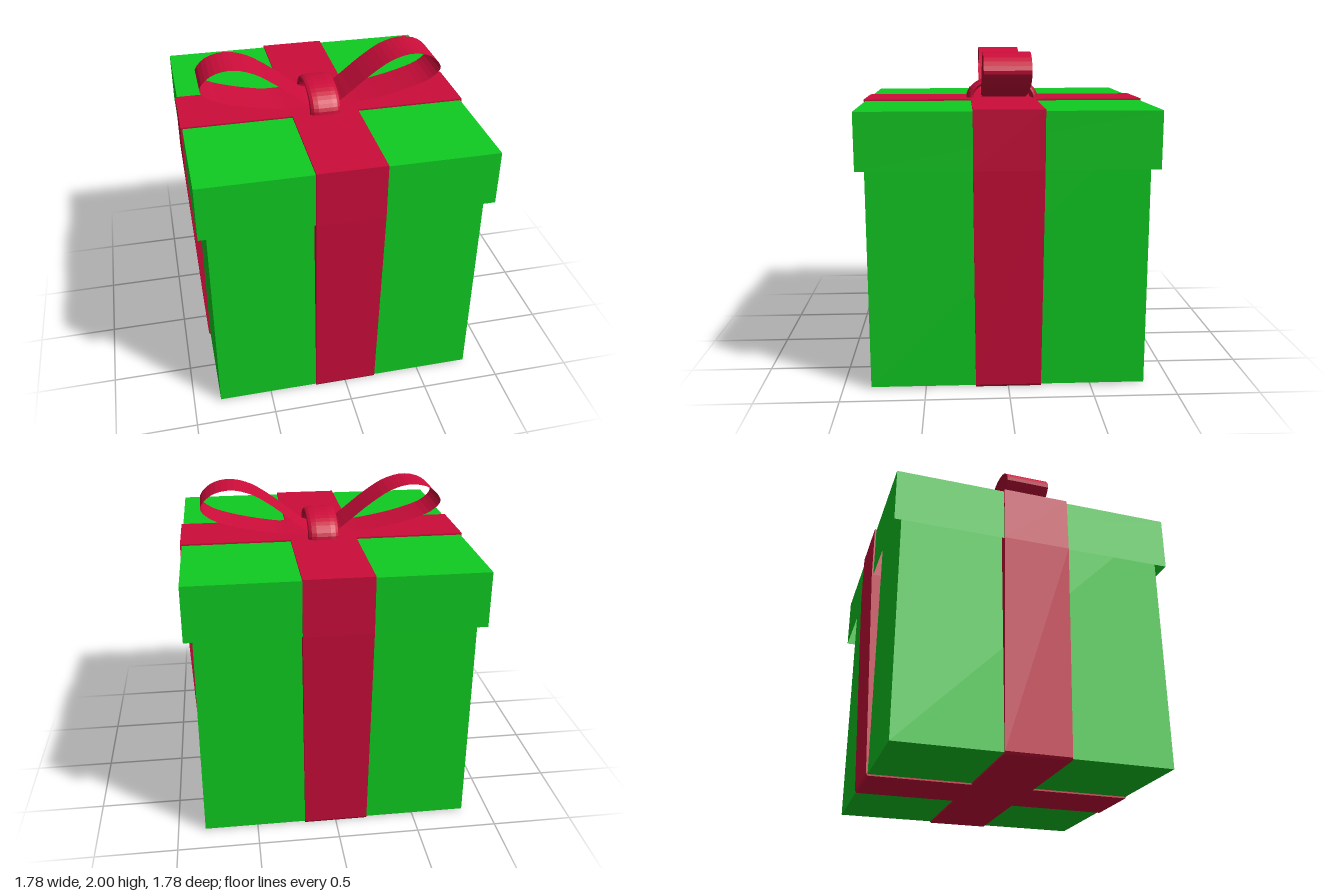
import * as THREE from 'three';

const green = new THREE.MeshStandardMaterial({ color: 0x10cc22, side: THREE.DoubleSide });
green.name = 'green paper';
const red = new THREE.MeshStandardMaterial({ color: 0xcc0d3a, flatShading: true, side: THREE.DoubleSide });
red.name = 'red ribbon';

function part(name, geometry, material) {
  const mesh = new THREE.Mesh(geometry, material);
  mesh.name = name;
  return mesh;
}

// Box standing between two heights
function block(half, y0, y1) {
  return new THREE.BoxGeometry(half * 2, y1 - y0, half * 2).translate(0, (y0 + y1) / 2, 0);
}

// Lid: a box without its underside
function lidGeometry() {
  const geometry = block(0.88, 1.34, 1.68);
  const index = Array.from(geometry.index.array);
  index.splice(18, 6);
  geometry.setIndex(index);
  return geometry;
}

// Wrapping band: flares from the base up to the lid, then runs straight
function bandGeometry() {
  const rows = [ // y, half length, half width
    [1.69, 0.89, 0.207], [1.34, 0.89, 0.207], [0.015, 0.84, 0.198], [0, 0.83, 0.198],
  ];
  const geometry = new THREE.BoxGeometry(2, 3, 2, 1, 3, 1);
  const p = geometry.attributes.position;
  for (let i = 0; i < p.count; i++) {
    const [y, length, width] = rows[Math.round(1.5 - p.getY(i))];
    p.setXYZ(i, Math.sign(p.getX(i)) * length, y, Math.sign(p.getZ(i)) * width);
  }
  geometry.computeVertexNormals();
  return geometry;
}

// Bow loop: a thin strip bent along a teardrop curve
function loopGeometry(side) {
  const points = [
    [0, 1.7], [0.08, 1.715], [0.17, 1.78], [0.31, 1.89], [0.44, 1.97], [0.57, 2.0],
    [0.69, 1.97], [0.757, 1.89], [0.7, 1.825], [0.57, 1.775], [0.39, 1.733], [0.2, 1.705], [0, 1.697],
  ].map(([x, y]) => new THREE.Vector3(x * side, y, 0));
  const curve = new THREE.CatmullRomCurve3(points);
  const segments = 40;
  const geometry = new THREE.PlaneGeometry(1, 0.28, segments, 1);
  const p = geometry.attributes.position;
  for (let i = 0; i < p.count; i++) {
    const at = curve.getPoint((i % (segments + 1)) / segments);
    p.setXYZ(i, at.x, at.y, p.getY(i));
  }
  geometry.computeVertexNormals();
  return geometry;
}

// Knot: half ring with a rounded section, arched over the middle of the bow
function knotGeometry() {
  const profile = [
    [0.19, -0.085], [0.205, -0.097], [0.217, -0.092], [0.229, -0.075], [0.235, -0.045],
    [0.235, 0.045], [0.229, 0.075], [0.217, 0.092], [0.205, 0.097], [0.19, 0.085], [0.19, -0.085],
  ].map(([r, x]) => new THREE.Vector2(r, x));
  return new THREE.LatheGeometry(profile, 20, 0, Math.PI)
    .rotateZ(Math.PI / 2)
    .scale(1, 0.6, 1)
    .translate(0, 1.688, 0);
}

export function createModel() {
  const model = new THREE.Group();
  model.name = 'giftBox';

  model.add(part('boxBody', block(0.83, 0.01, 1.66), green));
  model.add(part('lid', lidGeometry(), green));

  // Two bands crossing at right angles
  model.add(part('sideBand', bandGeometry(), red));
  model.add(part('frontBand', bandGeometry().rotateY(Math.PI / 2), red));

  const bow = new THREE.Group();
  bow.name = 'bow';
  bow.add(part('leftLoop', loopGeometry(1), red));
  bow.add(part('rightLoop', loopGeometry(-1), red));
  bow.add(part('knot', knotGeometry(), red));
  model.add(bow);

  return model;
}
